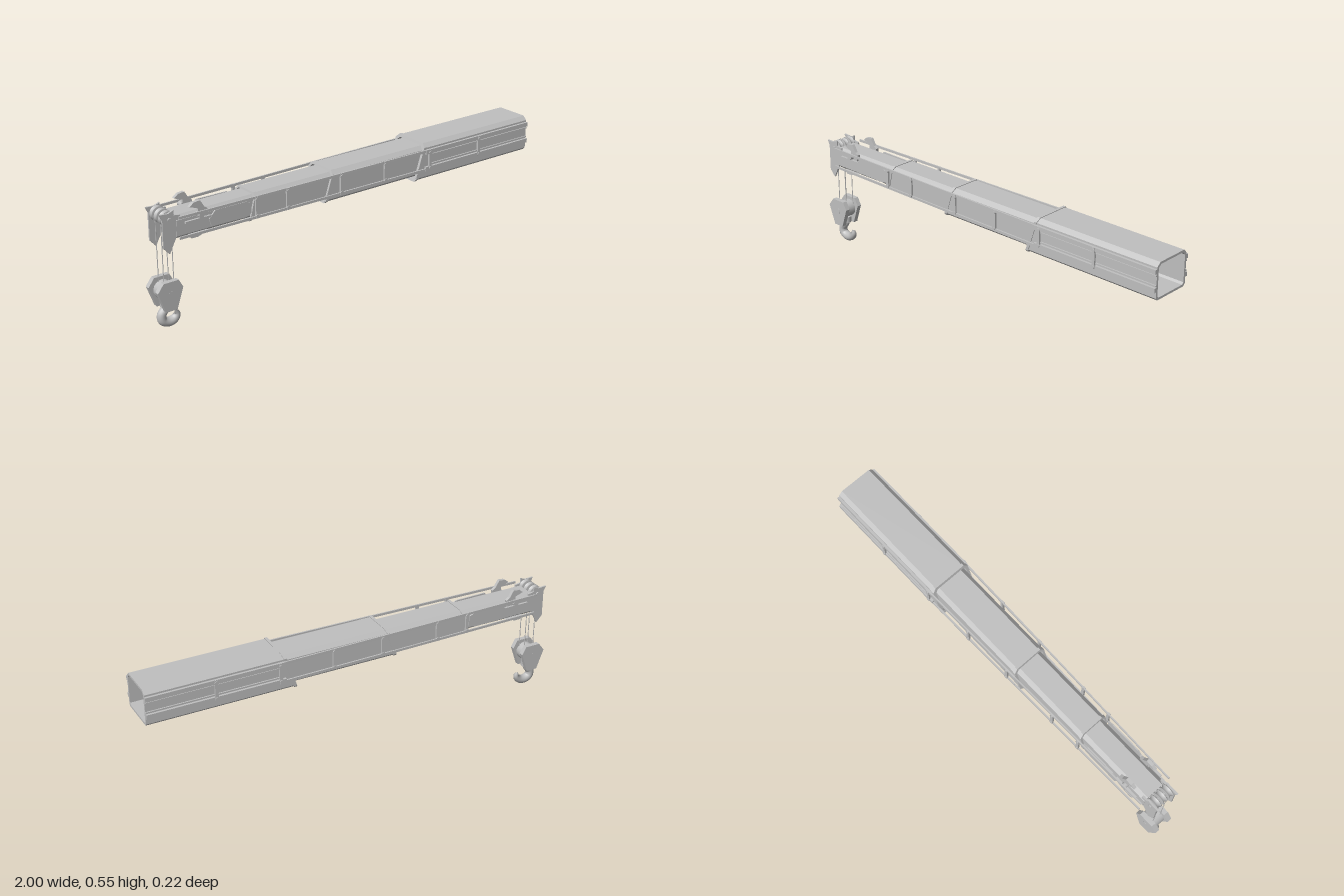
import * as THREE from 'three';

export function createModel() {
  const model = new THREE.Group();
  const steel = new THREE.MeshStandardMaterial({ color: 0xc0c0c0, side: THREE.DoubleSide });
  steel.name = 'grey steel';

  const add = (name, geo) => {
    const mesh = new THREE.Mesh(geo, steel);
    mesh.name = name;
    model.add(mesh);
    return mesh;
  };
  const box = (name, w, h, d, x, y, z) => add(name, new THREE.BoxGeometry(w, h, d).translate(x, y, z));
  // flat plate outlined in x/y, with its thickness centred on z
  const plate = (name, pts, z, t) => add(name, new THREE.ExtrudeGeometry(
    new THREE.Shape(pts.map(p => new THREE.Vector2(...p))), { depth: t, bevelEnabled: false }).translate(0, 0, z - t / 2));
  // cylinder lying across the boom
  const drum = (name, r, len, x, y, z) => add(name, new THREE.CylinderGeometry(r, r, len, 24).rotateX(Math.PI / 2).translate(x, y, z));
  // bar between two points
  const bar = (name, a, b, h, t) => {
    const dx = b[0] - a[0], dz = b[2] - a[2];
    const geo = new THREE.BoxGeometry(Math.hypot(dx, dz), h, t).rotateY(-Math.atan2(dz, dx));
    return add(name, geo.translate((a[0] + b[0]) / 2, (a[1] + b[1]) / 2, (a[2] + b[2]) / 2));
  };

  // chamfered rectangle
  const outline = (Type, w, y0, y1, c) => {
    const b = c * 0.6;
    return new Type([[-w + b, y0], [w - b, y0], [w, y0 + b], [w, y1 - c], [w - c, y1], [-w + c, y1], [-w, y1 - c], [-w, y0 + b]]
      .map(p => new THREE.Vector2(...p)));
  };
  // hollow boom section; its front end slants from xTop to xBottom
  const tube = (name, xTop, xBottom, xEnd, w, y0, y1, wall) => {
    const shape = outline(THREE.Shape, w, y0, y1, 0.018);
    shape.holes.push(outline(THREE.Path, w - wall, y0 + wall, y1 - wall, 0.014));
    const geo = new THREE.ExtrudeGeometry(shape, { depth: 1, bevelEnabled: false }).rotateY(Math.PI / 2);
    const p = geo.attributes.position;
    for (let i = 0; i < p.count; i++) {
      const front = xBottom + (xTop - xBottom) * (p.getY(i) - y0) / (y1 - y0);
      const end = xEnd === null ? front + 0.014 : xEnd;
      p.setX(i, front + (end - front) * p.getX(i));
    }
    geo.computeVertexNormals();
    return add(name, geo);
  };

  // telescoping sections, each with a collar at its mouth
  const sections = [
    ['base', 0.37, 0.315, 1, 0.096, 0.37, 0.535, 0.010],
    ['second', -0.135, -0.18, 0.6, 0.081, 0.385, 0.521, 0.007],
    ['third', -0.53, -0.56, 0.1, 0.069, 0.396, 0.510, 0.006],
    ['tip', -0.905, -0.905, -0.3, 0.059, 0.405, 0.502, 0.006],
  ];
  sections.forEach(([n, a, b, e, w, y0, y1, t], i) => {
    tube(n + 'Section', a, b, e, w, y0, y1, t);
    if (i < 3) tube(n + 'Collar', a, b, null, w + 0.003, y0 - 0.003, y1 + 0.003, t + 0.003);
  });
  box('tipEndBlock', 0.02, 0.085, 0.105, -0.9, 0.455, 0);

  for (const s of [1, -1]) {
    // long side rails that converge toward the tip
    for (const y of [0.503, 0.415]) {
      bar('baseRail', [0.37, y - Math.sign(y - 0.46) * 0.004, s * 0.101], [1, y - Math.sign(y - 0.46) * 0.004, s * 0.101], 0.02, 0.012);
      bar('middleRail', [-0.15, y, s * 0.094], [0.37, y, s * 0.102], 0.012, 0.007);
      bar('frontRail', [-0.905, y, s * 0.08], [-0.15, y, s * 0.094], 0.011, 0.006);
      box('innerRail', 0.6, 0.006, 0.006, 0.7, y - Math.sign(y - 0.46) * 0.022, s * 0.099);
    }
    // upright rail ties with bolt heads
    for (const x of [-0.535, -0.38, -0.10, 0.14, 0.395, 0.69]) {
      const z = s * (x > 0.37 ? 0.104 : 0.094 + (x + 0.15) * 0.0175);
      box('railTie', 0.014, 0.098, 0.009, x, 0.459, z);
      for (const y of [0.495, 0.421]) drum('tieBolt', 0.008, 0.009, x, y, z + s * 0.003);
    }
    // tip side panel
    plate('tipSidePanel', [[-0.75, 0.425], [-0.58, 0.422], [-0.555, 0.435], [-0.555, 0.48], [-0.58, 0.49], [-0.73, 0.492], [-0.76, 0.46]], s * 0.073, 0.006);
    // cable guide fins and their fittings
    plate('guideFin', [[-0.845, 0.53], [-0.825, 0.545], [-0.795, 0.548], [-0.775, 0.515], [-0.76, 0.505], [-0.765, 0.475], [-0.81, 0.48], [-0.805, 0.515]], s * 0.059, 0.015);
    plate('lowerLug', [[-0.85, 0.41], [-0.76, 0.41], [-0.81, 0.393], [-0.84, 0.393]], s * 0.059, 0.015);
    box('guideArm', 0.12, 0.01, 0.01, -0.81, 0.47, s * 0.07);
    drum('guidePin', 0.013, 0.03, -0.80, 0.49, s * 0.07);
    // head cheek plates
    plate('headCheek', [[-0.98, 0.525], [-0.968, 0.5], [-0.968, 0.378], [-0.94, 0.347], [-0.905, 0.415], [-0.885, 0.42],
      [-0.885, 0.505], [-0.915, 0.51], [-0.915, 0.532], [-0.94, 0.522]], s * 0.053, 0.008);
    // hook block cheeks
    plate('blockCheek', [[-0.972, 0.22], [-0.9, 0.22], [-0.88, 0.183], [-0.912, 0.09], [-0.965, 0.09], [-1, 0.183]], s * 0.037, 0.022);
    // hoisting lines
    for (const x of [-0.955, -0.908])
      add('hoistLine', new THREE.CylinderGeometry(0.002, 0.002, 0.31, 8).translate(x, 0.345, s * 0.021));
  }

  // head sheaves: grooved wheels on one axle
  const wheel = [[0.008, -0.012], [0.032, -0.012], [0.032, -0.009], [0.024, 0], [0.032, 0.009], [0.032, 0.012], [0.008, 0.012]]
    .map(p => new THREE.Vector2(...p));
  for (const z of [-0.034, 0, 0.034])
    add('headSheave', new THREE.LatheGeometry(wheel, 28).rotateX(Math.PI / 2).translate(-0.935, 0.495, z));
  drum('headAxle', 0.009, 0.125, -0.935, 0.495, 0);

  // hook block sheave, axle and swivel
  drum('blockSheave', 0.041, 0.05, -0.938, 0.165, 0);
  drum('blockAxle', 0.012, 0.098, -0.938, 0.165, 0);
  add('swivel', new THREE.CylinderGeometry(0.025, 0.025, 0.03, 24).translate(-0.938, 0.11, 0));

  // tapered hook swept along a curve
  const path = new THREE.CatmullRomCurve3([[-0.938, 0.105], [-0.943, 0.085], [-0.961, 0.06], [-0.957, 0.034], [-0.931, 0.021],
    [-0.902, 0.027], [-0.887, 0.046], [-0.893, 0.064]].map(p => new THREE.Vector3(p[0], p[1], 0)));
  const rings = 40, sides = 16;
  const hook = new THREE.TubeGeometry(path, rings, 1, sides, false);
  const hp = hook.attributes.position, v = new THREE.Vector3();
  for (let i = 0; i <= rings; i++) {
    const t = i / rings, c = path.getPointAt(t);
    const r = t < 0.6 ? 0.017 + 0.004 * Math.sin(t / 0.6 * Math.PI / 2) : 0.021 * Math.sqrt(Math.max(0, 1 - ((t - 0.6) / 0.4) ** 2));
    for (let j = 0; j <= sides; j++) {
      const k = i * (sides + 1) + j;
      v.fromBufferAttribute(hp, k).sub(c).multiplyScalar(r).add(c);
      hp.setXYZ(k, v.x, v.y, v.z);
    }
  }
  add('hook', hook);

  return model;
}
